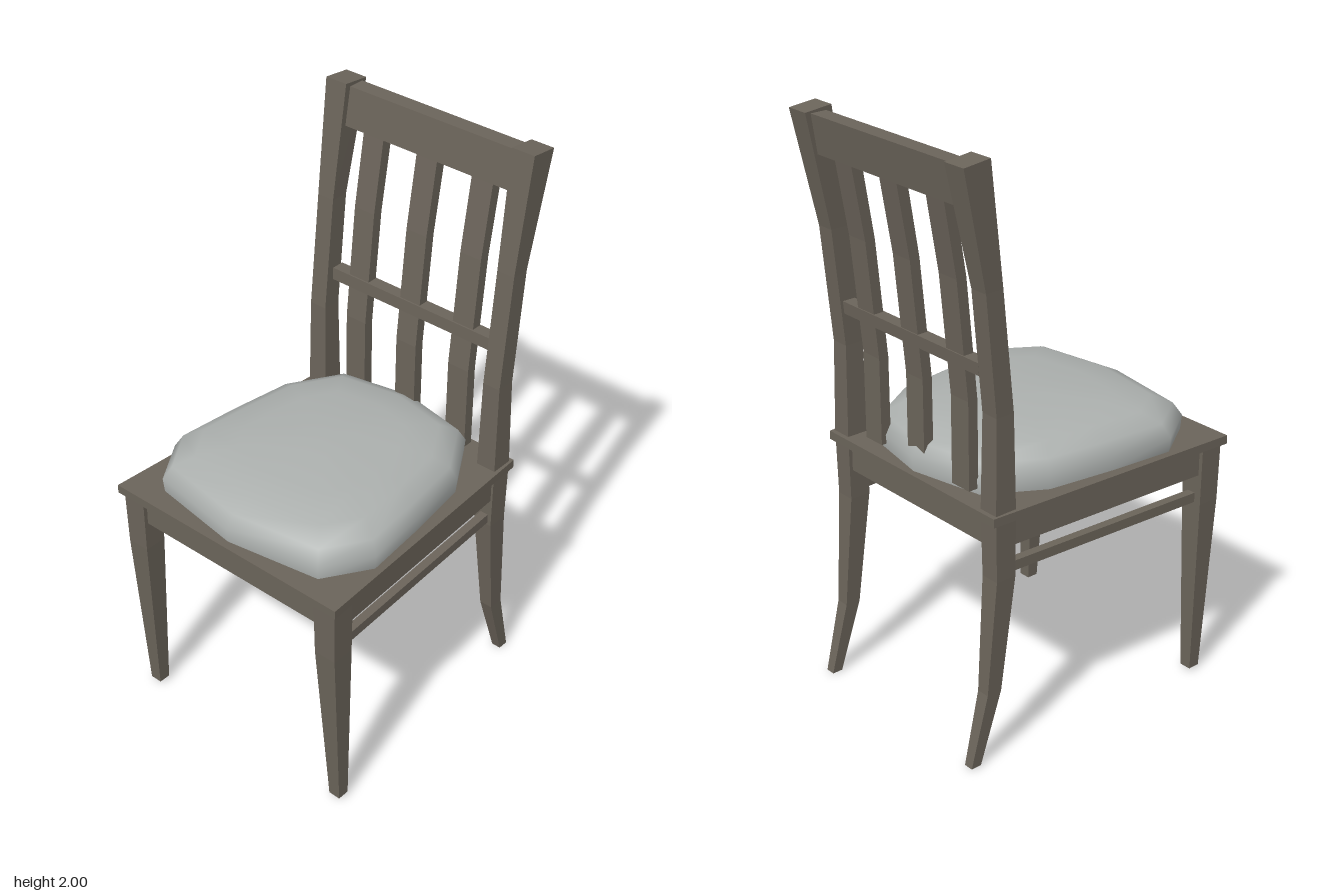
import * as THREE from 'three';

const wood = new THREE.MeshStandardMaterial({ color: 0x6b645a });
wood.name = 'greyBrownWood';
const fabric = new THREE.MeshStandardMaterial({ color: 0xacb0ae });
fabric.name = 'paleGreyFabric';

// Skin a list of matching rings; each ring runs counter-clockwise seen from the last ring's end
function loft(rings, smooth = false) {
  const n = rings[0].length, pos = rings.flat(2), index = [];
  for (let r = 0; r < rings.length - 1; r++) {
    for (let i = 0; i < n; i++) {
      const j = (i + 1) % n, a = r * n + i, b = r * n + j;
      index.push(a, b, b + n, a, b + n, a + n);
    }
  }
  const cap = (r, flip) => {
    const centre = [0, 1, 2].map(k => rings[r].reduce((s, p) => s + p[k], 0) / n);
    const c = pos.length / 3;
    pos.push(...centre);
    for (let i = 0; i < n; i++) {
      const a = r * n + i, b = r * n + (i + 1) % n;
      index.push(c, flip ? b : a, flip ? a : b);
    }
  };
  if (!smooth) cap(0, true);
  cap(rings.length - 1, false);
  let g = new THREE.BufferGeometry();
  g.setAttribute('position', new THREE.Float32BufferAttribute(pos, 3));
  g.setIndex(index);
  if (!smooth) g = g.toNonIndexed();
  g.computeVertexNormals();
  return g;
}

// Horizontal ring: rectangle, with an optional drop of the rear edge
function rect(y, xa, xb, zBack, zFront, drop = 0) {
  const x0 = Math.min(xa, xb), x1 = Math.max(xa, xb);
  return [[x0, y, zFront], [x1, y, zFront], [x1, y - drop, zBack], [x0, y - drop, zBack]];
}

// Horizontal ring: trapezoid, wider at the front
const trapezoid = (y, wFront, wBack, zBack, zFront) =>
  [[-wFront, y, zFront], [wFront, y, zFront], [wBack, y, zBack], [-wBack, y, zBack]];

export function createModel() {
  const chair = new THREE.Group();
  chair.name = 'diningChair';
  const add = (name, geometry, material = wood) => {
    const mesh = new THREE.Mesh(geometry, material);
    mesh.name = name;
    chair.add(mesh);
  };

  // Seat board and the apron block under it
  add('seatBoard', loft([0.85, 0.88].map(y => trapezoid(y, 0.47, 0.415, -0.43, 0.53))));
  add('apron', loft([0.755, 0.852].map(y => trapezoid(y, 0.445, 0.395, -0.4, 0.5))));

  for (const [s, side] of [[1, 'left'], [-1, 'right']]) {
    // Tapered front leg
    add(side + 'FrontLeg', loft([
      rect(0.01, s * 0.397, s * 0.44, 0.432, 0.474),
      rect(0.65, s * 0.372, s * 0.453, 0.432, 0.512),
      rect(0.852, s * 0.37, s * 0.456, 0.432, 0.515),
    ]));

    // Back leg curving up into the back post: y, inner x, outer x, back z, front z
    add(side + 'BackPost', loft([
      [0, 0.354, 0.388, -0.503, -0.465],
      [0.25, 0.347, 0.394, -0.44, -0.385],
      [0.65, 0.337, 0.405, -0.41, -0.335],
      [0.88, 0.335, 0.407, -0.414, -0.335],
      [1.2, 0.338, 0.403, -0.407, -0.34],
      [1.6, 0.338, 0.403, -0.445, -0.38],
      [2, 0.328, 0.412, -0.53, -0.432, 0.01],
    ].map(([y, xi, xo, zb, zf, drop]) => rect(y, s * xi, s * xo, zb, zf, drop))));

    // Side stretcher
    add(side + 'Stretcher', loft([[-0.36, 0.375, 0.676], [0.45, 0.413, 0.668]].map(([z, x, y]) => {
      const w = 0.015, h = 0.017, c = s * x;
      return [[c - w, y - h, z], [c + w, y - h, z], [c + w, y + h, z], [c - w, y + h, z]];
    })));
  }

  // Back slats, bent like the posts
  [-0.215, 0.003, 0.222].forEach((x, i) => add('backSlat' + (i + 1), loft([
    [0.9, -0.393, -0.356], [1.2, -0.393, -0.357], [1.6, -0.432, -0.395], [1.88, -0.48, -0.44],
  ].map(([y, zb, zf]) => rect(y, x - 0.041, x + 0.041, zb, zf)))));

  // Rails across the back
  add('topRail', loft([
    rect(1.853, -0.335, 0.335, -0.488, -0.433),
    rect(1.985, -0.335, 0.335, -0.51, -0.452),
  ]));
  add('middleRail', loft([
    rect(1.312, -0.325, 0.34, -0.408, -0.364),
    rect(1.355, -0.325, 0.34, -0.412, -0.366),
  ]));

  // Domed cushion: one outline shrunk towards the top
  const half = [[0.335, 0.455], [0.435, 0.3], [0.412, 0.06], [0.38, -0.17], [0.265, -0.36]];
  const outline = [[0, 0.507], ...half, [0, -0.412], ...half.map(([x, z]) => [-x, z]).reverse()];
  const layers = [[0.879, 0.99], [0.93, 1], [0.975, 0.94], [1.008, 0.8], [1.027, 0.55], [1.036, 0.2]];
  add('cushion', loft(layers.map(([y, k]) =>
    outline.map(([x, z]) => [x * k, y, 0.03 + (z - 0.03) * k])), true), fabric);

  return chair;
}
